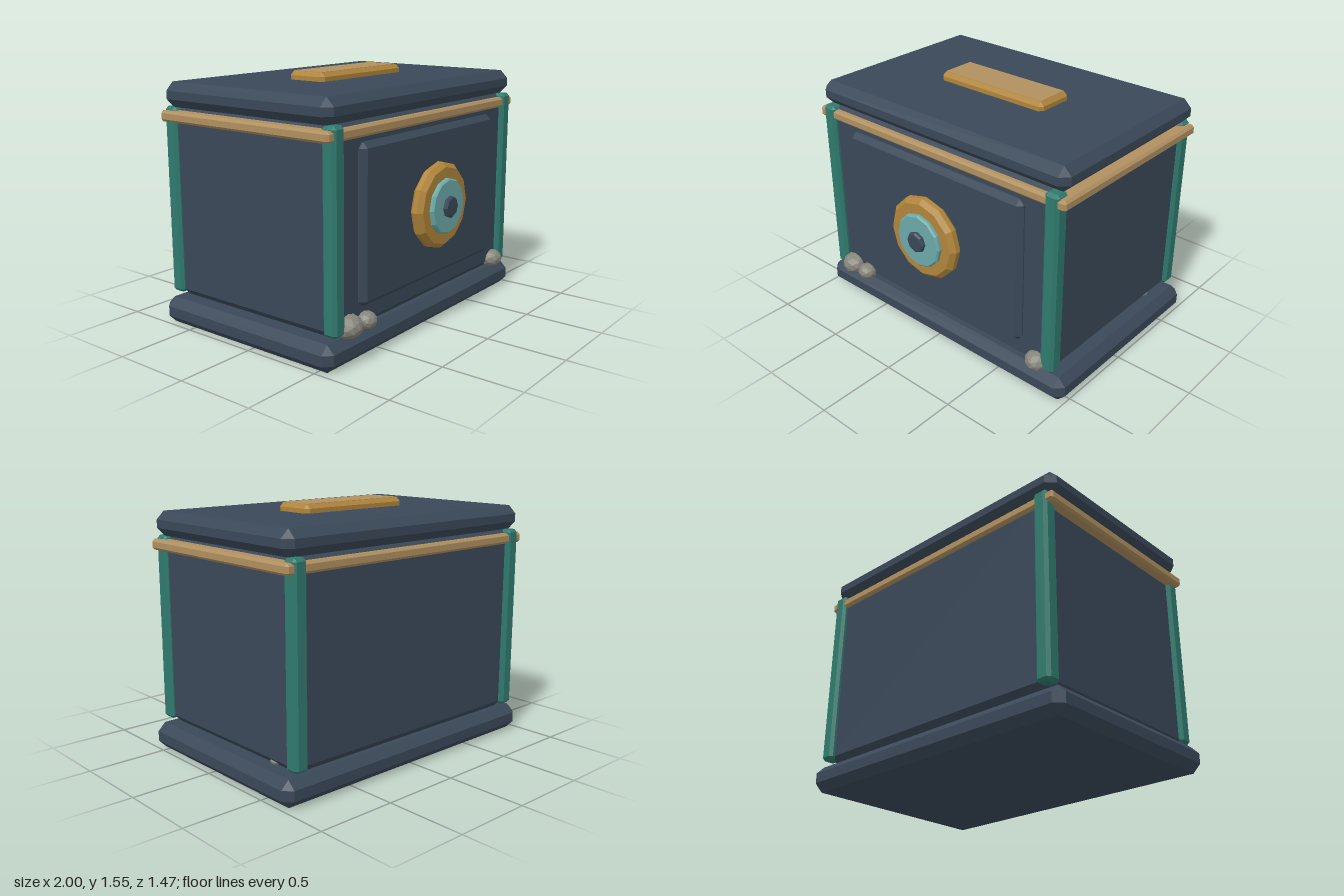
import * as THREE from 'three';
import { ConvexGeometry } from 'three/addons/geometries/ConvexGeometry.js';

const MID_Z = -0.065; // centre of the cabinet, as the dial stands out in front

const material = (name, color) => {
  const m = new THREE.MeshStandardMaterial({ color, flatShading: true });
  m.name = name;
  return m;
};

// Box with every edge cut by a flat chamfer c
function chamferBox(w, h, d, c) {
  const points = [];
  const [x, y, z] = [w / 2, h / 2, d / 2];
  for (const sx of [-1, 1]) for (const sy of [-1, 1]) for (const sz of [-1, 1]) {
    points.push(
      new THREE.Vector3(sx * x, sy * (y - c), sz * (z - c)),
      new THREE.Vector3(sx * (x - c), sy * y, sz * (z - c)),
      new THREE.Vector3(sx * (x - c), sy * (y - c), sz * z));
  }
  return new ConvexGeometry(points);
}

// Disc facing +z with chamfered rims, from z0 to z1
function disc(radius, z0, z1, c, sides) {
  const profile = [[0, z0], [radius - c, z0], [radius, z0 + c], [radius, z1 - c], [radius - c, z1], [0, z1]]
    .map(([r, z]) => new THREE.Vector2(r, z));
  return new THREE.LatheGeometry(profile, sides).rotateX(Math.PI / 2);
}

export function createModel() {
  const group = new THREE.Group();
  const navy = material('navy steel', 0x3a4858);
  const teal = material('teal', 0x2f7a6e);
  const gold = material('gold', 0xb0853a);
  const brass = material('pale brass', 0xb09060);
  const aqua = material('aqua', 0x6caaa9);
  const stone = material('stone', 0x87867c);

  const add = (name, geometry, mat, x = 0, y = 0, z = 0) => {
    const mesh = new THREE.Mesh(geometry, mat);
    mesh.name = name;
    mesh.position.set(x, y, z);
    group.add(mesh);
    return mesh;
  };

  // Cabinet
  add('base', chamferBox(2, 0.163, 1.33, 0.05), navy, 0, 0.0815, MID_Z);
  add('body', chamferBox(1.81, 1.2, 1.25, 0.05), navy, 0, 0.76, MID_Z);
  add('lid', chamferBox(1.92, 0.15, 1.28, 0.05), navy, 0, 1.42, MID_Z);
  add('door', chamferBox(1.38, 0.93, 0.1, 0.032), navy, 0, 0.765, 0.55);

  // Band under the lid
  add('trim', chamferBox(1.94, 0.066, 1.296, 0.015), brass, 0, 1.292, MID_Z);

  // Corner posts
  const post = chamferBox(0.095, 1.157, 0.095, 0.018);
  for (const sx of [-1, 1]) for (const sz of [-1, 1]) {
    add('cornerPost', post, teal, sx * 0.882, 0.768, MID_Z + sz * 0.609);
  }

  // Handle on the lid
  add('handle', chamferBox(0.8, 0.08, 0.268, 0.025), gold, 0, 1.507, MID_Z);
  add('handleTop', new THREE.BoxGeometry(0.75, 0.004, 0.218), brass, 0, 1.547, MID_Z);

  // Dial on the door
  add('dialRing', disc(0.265, 0.595, 0.682, 0.028, 12), gold, 0, 0.765, 0);
  add('dialFace', disc(0.172, 0.67, 0.709, 0.01, 12), aqua, 0, 0.765, 0);
  add('dialKnob', disc(0.067, 0.7, 0.735, 0.01, 8), navy, 0, 0.765, 0);

  // Pebbles around the foot: x, y, z, width radius, height radius
  const pebble = new THREE.IcosahedronGeometry(1, 1);
  const pebbles = [
    [-0.78, 0.22, 0.565, 0.085, 0.07],
    [-0.64, 0.218, 0.58, 0.064, 0.053],
    [0.8, 0.22, 0.56, 0.075, 0.06],
    [0.86, 0.182, -0.465, 0.035, 0.024],
  ];
  pebbles.forEach(([x, y, z, r, h], i) => {
    const mesh = add('pebble', pebble, stone, x, y, z);
    mesh.scale.set(r, h, r);
    mesh.rotation.y = i * 1.3;
  });

  return group;
}
